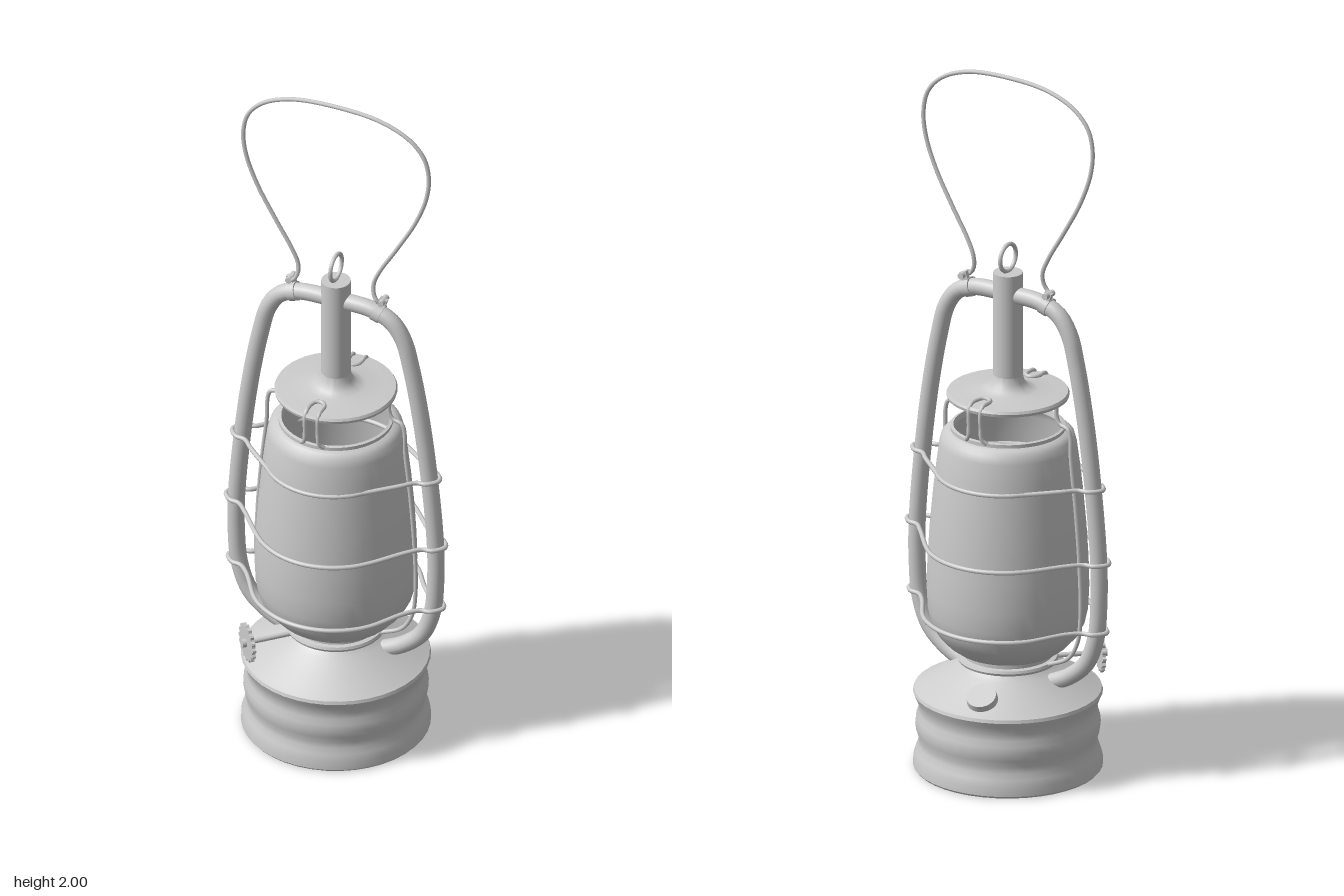
import * as THREE from 'three';
import { toCreasedNormals } from 'three/addons/utils/BufferGeometryUtils.js';

const grey = new THREE.MeshStandardMaterial({ color: 0xcccccc });
const greyDouble = new THREE.MeshStandardMaterial({ color: 0xcccccc, side: THREE.DoubleSide });

export function createModel() {
  const model = new THREE.Group();
  model.name = 'lantern';

  const add = (name, geometry, parent = model, material = grey) => {
    const mesh = new THREE.Mesh(geometry, material);
    mesh.name = name;
    parent.add(mesh);
    return mesh;
  };
  const vec = (p) => new THREE.Vector3(...p);
  const lathe = (name, profile, material = grey) => add(name, toCreasedNormals(
    new THREE.LatheGeometry(profile.map((p) => new THREE.Vector2(...p)), 40), 0.6), model, material);
  // Round wire or pipe through points, with flat ends when open
  const wire = (name, points, radius, segments = 80, closed = false, sides = 8) => {
    const curve = new THREE.CatmullRomCurve3(points.map(vec), closed);
    add(name, new THREE.TubeGeometry(curve, segments, radius, sides, closed));
    if (closed) return;
    for (const t of [0, 1]) {
      const cap = add(name + 'End', new THREE.CircleGeometry(radius, sides));
      const out = curve.getTangent(t).multiplyScalar(t ? 1 : -1);
      cap.position.copy(curve.getPoint(t));
      cap.quaternion.setFromUnitVectors(new THREE.Vector3(0, 0, 1), out);
    }
  };
  // Half path ending on x = 0, continued as its mirror image
  const mirrored = (half) => [...half, ...half.slice(0, -1).reverse().map(([x, y, z]) => [-x, y, z])];

  // Fuel tank with rolled grooves and sloping shoulder
  lathe('fuelTank', [
    [0, 0], [0.252, 0], [0.257, 0.006], [0.256, 0.03], [0.25, 0.05], [0.243, 0.068], [0.242, 0.085],
    [0.248, 0.105], [0.251, 0.125], [0.249, 0.145], [0.243, 0.162], [0.242, 0.18], [0.25, 0.202],
    [0.257, 0.218], [0.254, 0.227], [0.24, 0.234], [0.19, 0.262], [0.14, 0.29], [0.125, 0.3], [0.12, 0.305],
  ]);

  // Burner collar under the globe
  lathe('burnerCollar', [
    [0.12, 0.295], [0.12, 0.306], [0.134, 0.308], [0.137, 0.315], [0.134, 0.322],
    [0.122, 0.324], [0.122, 0.335], [0.135, 0.337], [0.135, 0.345], [0, 0.345],
  ]);

  // Glass globe, open at the top
  lathe('globe', [
    [0.125, 0.335], [0.14, 0.342], [0.165, 0.36], [0.192, 0.39], [0.208, 0.42], [0.217, 0.46], [0.22, 0.52],
    [0.218, 0.6], [0.212, 0.7], [0.203, 0.8], [0.194, 0.88], [0.186, 0.94], [0.18, 0.962], [0.168, 0.974],
    [0.156, 0.978], [0.156, 0.988], [0.148, 0.99], [0.145, 0.975],
  ], greyDouble);

  // Hood plate and chimney
  lathe('hood', [
    [0.158, 1.072], [0.165, 1.072], [0.167, 1.08], [0.163, 1.087], [0.13, 1.09],
    [0.08, 1.093], [0.058, 1.1], [0.045, 1.115], [0.04, 1.135],
  ], greyDouble);
  add('chimney', new THREE.CylinderGeometry(0.04, 0.04, 0.34, 32)).position.y = 1.26;
  const ring = add('topRing', new THREE.TorusGeometry(0.038, 0.006, 8, 32));
  ring.position.y = 1.472;
  ring.rotation.y = Math.PI / 2;

  // Side pipes: one arch running through the chimney
  wire('framePipe', mirrored([
    [0.145, 0.272, 0], [0.2, 0.3, 0], [0.255, 0.35, 0], [0.286, 0.43, 0], [0.296, 0.54, 0], [0.295, 0.65, 0],
    [0.278, 0.85, 0], [0.252, 1.05, 0], [0.222, 1.21, 0], [0.2, 1.29, 0], [0.165, 1.34, 0], [0.11, 1.364, 0],
    [0, 1.368, 0],
  ]), 0.0235, 140, false, 16);

  // Guard wires round the globe, each hugging both side pipes
  for (const [y, radius, pipeX] of [[0.862, 0.195, 0.277], [0.65, 0.224, 0.295], [0.45, 0.232, 0.289]]) {
    const quarter = [];
    for (const degrees of [90, 72, 55, 42]) {
      const a = THREE.MathUtils.degToRad(degrees);
      quarter.push([radius * Math.cos(a), y - 0.008 * Math.sin(a), radius * Math.sin(a)]);
    }
    quarter.push([pipeX - 0.055, y, 0.068], [pipeX - 0.022, y, 0.036], [pipeX + 0.006, y, 0.031]);
    const side = [
      ...quarter, [pipeX + 0.03, y, 0],
      ...quarter.slice().reverse().map(([x, h, z]) => [x, h, -z]),
    ];
    wire('guardWire', [...side, ...side.slice(1, -1).reverse().map(([x, h, z]) => [-x, h, z])],
      0.0065, 180, true);
  }

  // Upright wires beside the globe, hooked under the hood
  for (const s of [1, -1]) {
    wire('uprightWire', [
      [0.158, 1.08, 0], [0.158, 1.045, 0], [0.168, 1.025, 0], [0.195, 1.015, 0], [0.203, 0.99, 0],
      [0.205, 0.93, 0], [0.221, 0.78, 0], [0.233, 0.62, 0], [0.236, 0.48, 0], [0.225, 0.4, 0], [0.195, 0.35, 0],
      [0.13, 0.318, 0],
    ].map(([x, y, z]) => [s * x, y, z]), 0.006);

    // U-shaped clips passing over the front and back of the hood
    wire('hoodClip', mirrored([
      [0.034, 0.986, s * 0.152], [0.022, 1.0, s * 0.16], [0.019, 1.03, s * 0.161], [0.019, 1.08, s * 0.161],
      [0.019, 1.093, s * 0.15], [0.019, 1.094, s * 0.12], [0.013, 1.094, s * 0.106], [0, 1.094, s * 0.1],
    ]), 0.006);

    // Lugs that hold the carrying handle
    const lug = new THREE.Group();
    lug.name = 'handleLug';
    lug.position.set(s * 0.125, 1.36, 0);
    lug.rotation.z = -s * 0.32;
    model.add(lug);
    const band = add('lugBand', new THREE.CylinderGeometry(0.027, 0.027, 0.024, 20), lug);
    band.rotation.z = Math.PI / 2;
    add('lugTab', new THREE.BoxGeometry(0.022, 0.026, 0.012), lug).position.set(0, 0.033, -0.008);
    const pin = add('lugPin', new THREE.CylinderGeometry(0.009, 0.009, 0.04, 12), lug);
    pin.position.set(0, 0.038, -0.008);
    pin.rotation.x = Math.PI / 2;
  }

  // Carrying handle
  wire('carryHandle', mirrored([
    [0.142, 1.392, -0.012], [0.128, 1.397, 0.006], [0.114, 1.418, 0.004], [0.112, 1.45, 0], [0.13, 1.495, 0],
    [0.18, 1.58, 0], [0.235, 1.68, 0], [0.268, 1.77, 0], [0.275, 1.84, 0], [0.26, 1.9, 0],
    [0.215, 1.948, 0], [0.13, 1.983, 0], [0, 1.994, 0],
  ]), 0.006, 140);

  // Wick knob: notched wheel on a spindle
  const knob = new THREE.Group();
  knob.name = 'wickKnob';
  knob.position.set(-0.182, 0.308, 0.178);
  knob.rotation.y = -Math.PI / 4;
  model.add(knob);
  const outline = new THREE.Shape();
  for (let i = 0; i < 64; i++) {
    const a = (i / 64) * Math.PI * 2;
    const r = i % 4 < 2 ? 0.055 : 0.049;
    outline[i ? 'lineTo' : 'moveTo'](r * Math.cos(a), r * Math.sin(a));
  }
  add('knobWheel', new THREE.ExtrudeGeometry(outline, { depth: 0.01, bevelEnabled: false }), knob)
    .position.z = -0.005;
  const hub = add('knobHub', new THREE.CylinderGeometry(0.012, 0.012, 0.034, 16), knob);
  hub.rotation.x = Math.PI / 2;
  const spindle = add('knobSpindle', new THREE.CylinderGeometry(0.007, 0.007, 0.15, 12), knob);
  spindle.rotation.x = Math.PI / 2;
  spindle.position.z = -0.07;

  // Filler cap on the back of the tank shoulder
  const cap = add('fillerCap', new THREE.CylinderGeometry(0.041, 0.043, 0.026, 28));
  cap.position.set(-0.045, 0.264, -0.193);
  const outward = new THREE.Vector3(-0.11, 0.87, -0.48).normalize();
  cap.quaternion.setFromUnitVectors(new THREE.Vector3(0, 1, 0), outward);

  return model;
}
